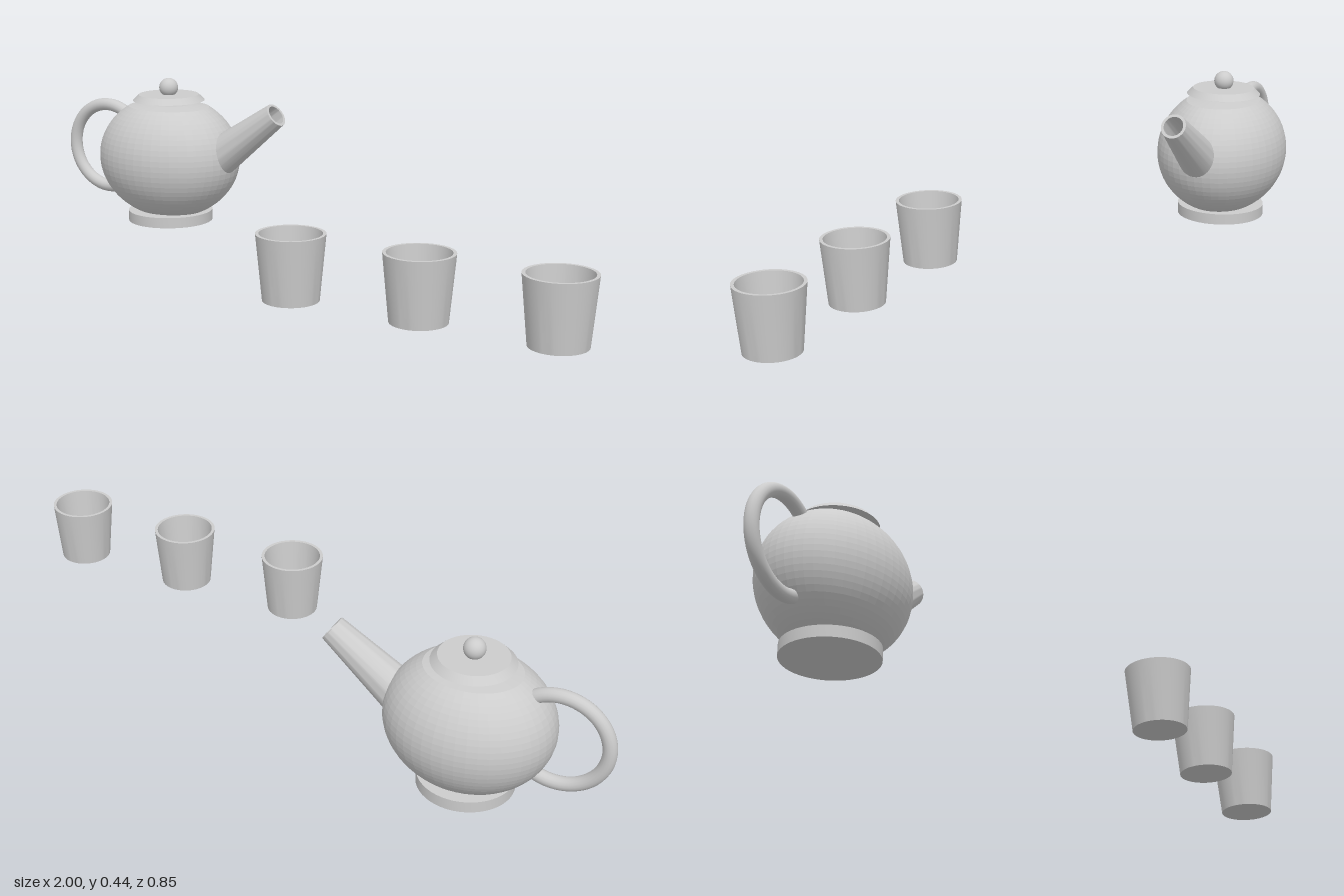
import * as THREE from 'three';
import { toCreasedNormals } from 'three/addons/utils/BufferGeometryUtils.js';

const grey = new THREE.MeshStandardMaterial({ color: 0xcccccc, side: THREE.DoubleSide });
const faceted = new THREE.MeshStandardMaterial({ color: 0xcccccc, flatShading: true });

function part(name, geometry, material = grey) {
  const mesh = new THREE.Mesh(geometry, material);
  mesh.name = name;
  return mesh;
}

// Turned shape from [radius, height] pairs, keeping its rims sharp
function turned(profile, segments = 48) {
  const points = profile.map(([r, y]) => new THREE.Vector2(r, y));
  return toCreasedNormals(new THREE.LatheGeometry(points, segments), 0.6);
}

function createTeapot() {
  const pot = new THREE.Group();
  pot.name = 'teapot';

  // Round belly, cut off below and closed by a shallow shoulder on top
  const R = 0.19, midY = 0.2;
  const profile = [new THREE.Vector2(0, 0.03)];
  const from = Math.asin(-0.17 / R), to = Math.asin(0.156 / R), rings = 24;
  for (let i = 0; i <= rings; i++) {
    const a = from + (to - from) * i / rings;
    profile.push(new THREE.Vector2(R * Math.cos(a), midY + R * Math.sin(a)));
  }
  profile.push(new THREE.Vector2(0.06, 0.364), new THREE.Vector2(0, 0.365));
  const body = part('body', new THREE.LatheGeometry(profile, 48), faceted);
  body.scale.x = 1.2;
  pot.add(body);

  // Foot, lid and knob
  pot.add(part('foot', turned([[0, 0], [0.13, 0], [0.13, 0.032], [0, 0.032]])));
  pot.add(part('lid', turned([[0, 0.375], [0.11, 0.375], [0.092, 0.393], [0, 0.393]])));
  const knob = part('lidKnob', new THREE.SphereGeometry(0.029, 32, 20));
  knob.position.y = 0.414;
  pot.add(knob);

  // Hollow tapered spout, running down from its tip into the belly
  const spout = part('spout', turned([
    [0.0625, -0.28], [0.037, 0], [0.029, 0], [0.052, -0.28],
  ], 40));
  spout.position.set(0.388, 0.363, 0);
  spout.rotation.z = -0.94;
  pot.add(spout);

  // Ring handle with its ends buried in the belly
  const gap = 0.7;
  const handle = part('handle',
    new THREE.TorusGeometry(0.131, 0.019, 16, 48, 2 * (Math.PI - gap)));
  handle.position.set(-0.235, 0.21, 0);
  handle.rotation.z = gap;
  pot.add(handle);
  return pot;
}

// Tapered cup with a thin wall and a floor
function createCup() {
  return part('cup', turned([
    [0, 0], [0.075, 0], [0.092, 0.178], [0.083, 0.178], [0.067, 0.012], [0, 0.012],
  ]));
}

export function createModel() {
  const model = new THREE.Group();
  model.name = 'teaSet';

  const pot = createTeapot();
  pot.position.set(-0.615, 0, -0.234);
  model.add(pot);

  for (let i = 0; i < 3; i++) {
    const cup = createCup();
    cup.position.set(0.169 + 0.3695 * i, 0, 0.334);
    model.add(cup);
  }
  return model;
}
